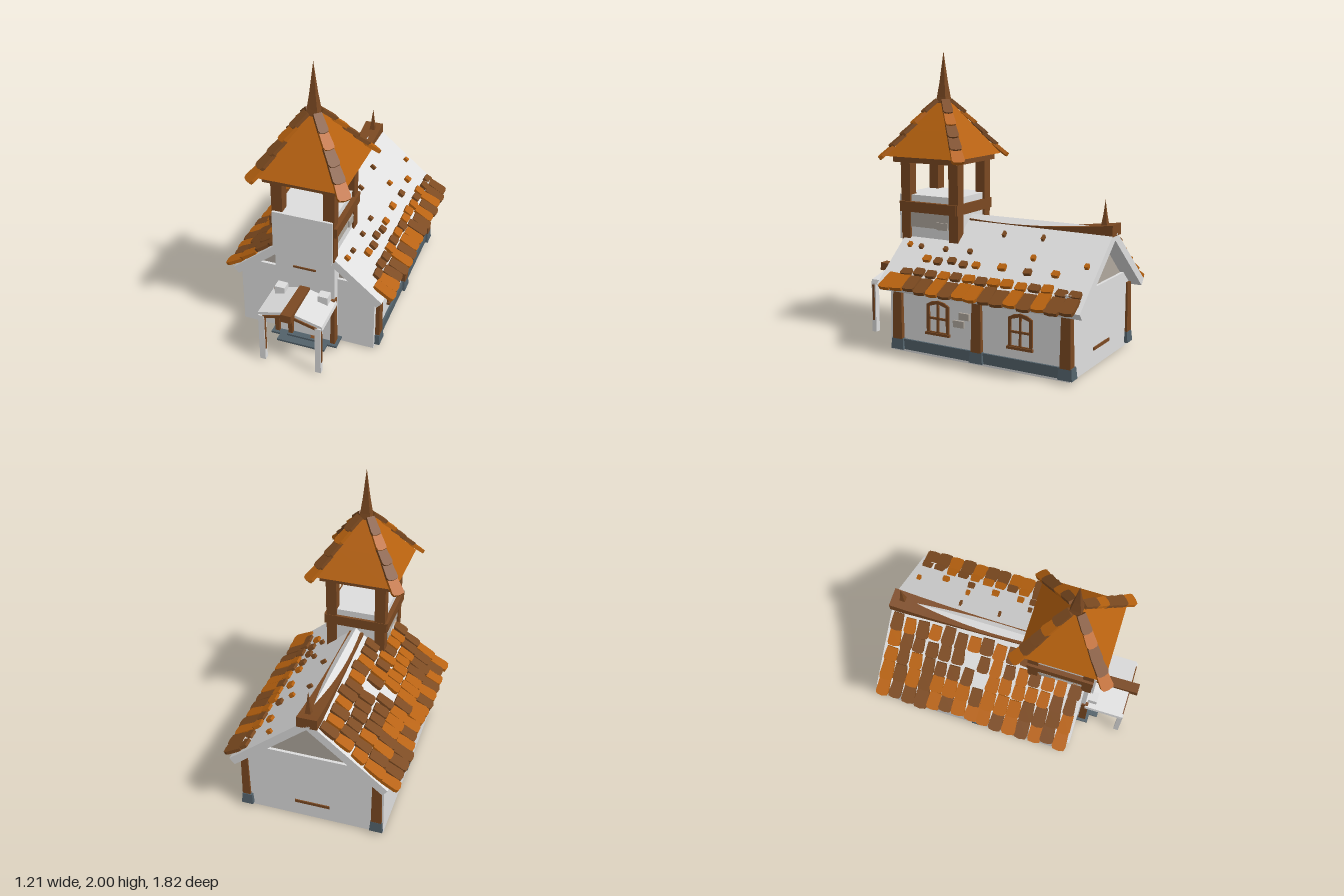
import * as THREE from 'three';

const mat = (name, color, side = THREE.FrontSide) => {
  const m = new THREE.MeshStandardMaterial({ color, side });
  m.name = name;
  return m;
};

export function createModel() {
  const plaster = mat('plaster', 0xdedede);
  const wood = mat('wood', 0x7b4922);
  const orange = mat('orangeTile', 0xb8620f);
  const brown = mat('brownTile', 0x7c4a20);
  const slate = mat('slate', 0x52616a);
  const stone = mat('stone', 0xb0a89e);
  const root = new THREE.Group();
  root.name = 'chapel';

  let seed = 7;
  const rand = () => (seed = (seed * 16807) % 2147483647) / 2147483647;

  const add = (name, geo, m, parent = root) => {
    const mesh = new THREE.Mesh(geo, m);
    mesh.name = name;
    parent.add(mesh);
    return mesh;
  };
  // box given by its limits on each axis
  const box = (name, m, x0, x1, y0, y1, z0, z1, parent = root) => {
    const b = add(name, new THREE.BoxGeometry(x1 - x0, y1 - y0, z1 - z0), m, parent);
    b.position.set((x0 + x1) / 2, (y0 + y1) / 2, (z0 + z1) / 2);
    return b;
  };
  // box whose top is narrower or wider than its foot
  const post = (name, m, x, z, w, d, y0, y1, top) => {
    const g = new THREE.BoxGeometry(w, y1 - y0, d);
    const p = g.attributes.position;
    for (let i = 0; i < p.count; i++)
      if (p.getY(i) > 0) { p.setX(i, p.getX(i) * top); p.setZ(i, p.getZ(i) * top); }
    g.computeVertexNormals();
    add(name, g, m).position.set(x, (y0 + y1) / 2, z);
  };
  const shape = pts => new THREE.Shape(pts.map(p => new THREE.Vector2(...p)));
  const prism = (name, m, s, z0, z1, parent = root) => {
    const e = add(name, new THREE.ExtrudeGeometry(s, { depth: z1 - z0, bevelEnabled: false }), m, parent);
    e.position.z = z0;
    return e;
  };

  // nave walls, recessed gables and floor
  prism('naveWalls', plaster, shape([[-0.485, 0.01], [0.46, 0.01], [0.46, 0.445], [0.36, 0.53],
    [-0.36, 0.53], [-0.485, 0.425]]), -0.82, 0.51);
  prism('gableInfill', stone, shape([[-0.36, 0.52], [0.36, 0.52], [0, 0.83]]), -0.8, 0.49);
  box('floor', slate, -0.46, 0.44, 0.004, 0.02, -0.8, 0.49);
  box('plinth', slate, 0.44, 0.475, 0.03, 0.1, -0.825, 0.485);
  box('wallVent', slate, -0.492, -0.48, 0.02, 0.05, -0.21, -0.13);
  for (const z of [0.44, -0.17, -0.8]) {
    post('wallPost', wood, 0.462, z, 0.055, 0.075, 0.1, 0.42, 0.85);
    post('postBase', slate, 0.455, z, 0.08, 0.1, 0.03, 0.105, 0.85);
  }
  post('backPost', wood, -0.44, -0.8, 0.07, 0.075, 0.1, 0.45, 0.85);
  post('backPostBase', slate, -0.44, -0.8, 0.088, 0.09, 0.03, 0.105, 0.85);
  box('backSlot', wood, -0.12, 0.12, 0.12, 0.14, -0.828, -0.81);

  // arched windows with four panes
  const win = shape([[-0.085, 0.165], [0.085, 0.165], [0.085, 0.365], [0.05, 0.385], [0, 0.395],
    [-0.05, 0.385], [-0.085, 0.365]]);
  for (const s of [-1, 1]) {
    const a = 0.007 * s, b = 0.064 * s;
    win.holes.push(new THREE.Path([[a, 0.185], [b, 0.185], [b, 0.268], [a, 0.268]].map(p => new THREE.Vector2(...p))));
    win.holes.push(new THREE.Path([[a, 0.282], [b, 0.282], [b, 0.355], [a, 0.372]].map(p => new THREE.Vector2(...p))));
  }
  for (const z of [0.13, -0.48]) {
    const w = prism('windowFrame', wood, win, 0, 0.015);
    w.rotation.y = Math.PI / 2;
    w.position.set(0.457, 0, z);
    box('windowSill', wood, 0.457, 0.48, 0.163, 0.18, z - 0.092, z + 0.092);
  }
  box('wallBrick', stone, 0.45, 0.475, 0.295, 0.34, -0.11, -0.035);
  box('wallBrick', stone, 0.45, 0.475, 0.24, 0.285, -0.07, 0.01);

  // roof tile, unit length and width, chamfered at its lower (+x) end
  const tileGeo = new THREE.ExtrudeGeometry(shape([[-0.5, -0.42], [0.32, -0.5], [0.46, -0.4], [0.5, 0],
    [0.45, 0.42], [0.3, 0.5], [-0.5, 0.42]]), { depth: 0.024, bevelEnabled: false });
  tileGeo.rotateX(-Math.PI / 2);
  const tile = (m, parent, x, y, z, len, wid, tilt) => {
    const t = add('roofTile', tileGeo, m, parent);
    t.scale.set(len, 1, wid);
    t.position.set(x, y, z);
    t.rotation.set(0, (rand() - 0.5) * 0.12, tilt);
  };

  // roof slopes: local x runs down the slope from the ridge
  // rows: distance, length, width, chance of a tile, tilt
  const rows = {
    1: [[0.665, 0.15, 0.1, 1, 0.2], [0.558, 0.06, 0.08, 0.9, 0.12], [0.435, 0.05, 0.055, 0.6, 0.1],
      [0.33, 0.035, 0.03, 0.45, 0.08], [0.16, 0.04, 0.02, 0.15, 0.05]],
    '-1': [[0.665, 0.15, 0.1, 1, 0.2], [0.545, 0.14, 0.098, 1, 0.12], [0.415, 0.12, 0.09, 0.95, 0.12],
      [0.295, 0.12, 0.088, 0.93, 0.12], [0.17, 0.125, 0.09, 0.93, 0.12]],
  };
  for (const s of [1, -1]) {
    const slope = new THREE.Group();
    slope.name = s > 0 ? 'leftRoof' : 'rightRoof';
    slope.position.y = 0.9;
    slope.rotation.set(0, s > 0 ? 0 : Math.PI, -0.69, 'YXZ');
    root.add(slope);
    const z0 = s > 0 ? -0.91 : -0.545, z1 = s > 0 ? 0.575 : 0.9;
    box('roofSlab', plaster, 0, 0.685, -0.055, 0, z0, z1, slope);
    for (const [d, len, wid, chance, tilt] of rows[s])
      for (let i = 0; i < 15; i++) {
        const z = -0.84 + i * 0.0945;
        const odd = (i + (rand() < 0.2 ? 1 : 0)) % 2;
        if (rand() > chance) continue;
        const k = 0.85 + rand() * 0.25;
        tile(odd ? brown : orange, slope, d + (rand() - 0.5) * 0.02, d > 0.6 ? 0.008 : 0.001,
          s * (z + (rand() - 0.5) * 0.01), len * k, wid * (0.9 + rand() * 0.15), tilt);
      }
  }
  box('roofBlock', plaster, 0.415, 0.465, 0.51, 0.555, -0.825, -0.78);

  // sagging ridge beam and its spike
  const ridge = new THREE.BoxGeometry(1, 1, 1, 1, 1, 10);
  const rp = ridge.attributes.position;
  for (let i = 0; i < rp.count; i++) {
    const t = 0.5 - rp.getZ(i), z = 0.145 - 1.055 * t;
    const top = 0.865 + 0.1 * (z + 0.15) ** 2;
    rp.setXYZ(i, rp.getX(i) > 0 ? 0.046 + 0.01 * t : -0.056 - 0.022 * t, rp.getY(i) > 0 ? top : top - 0.075, z);
  }
  ridge.computeVertexNormals();
  add('ridgeBeam', ridge, wood);
  const spire = (name, m, pts, y, z) => {
    const g = new THREE.LatheGeometry(pts.map(p => new THREE.Vector2(p[0] * Math.SQRT2, p[1])), 4, Math.PI / 4).toNonIndexed();
    g.computeVertexNormals();
    add(name, g, m).position.set(0, y, z);
  };
  spire('ridgeSpike', wood, [[0, 0], [0.02, 0], [0.01, 0.07], [0, 0.165]], 0.91, -0.835);

  // tower
  box('towerBase', plaster, -0.205, 0.205, 0.01, 0.72, 0.15, 0.575);
  box('towerTop', plaster, -0.195, 0.195, 0.7, 1.03, 0.15, 0.6);
  box('towerFront', plaster, -0.205, 0.205, 0.72, 1.03, 0.595, 0.608);
  box('frontSlot', wood, -0.078, 0.078, 0.605, 0.618, 0.57, 0.582);
  for (const s of [-1, 1]) {
    box('sidePanel', stone, s * 0.198 - 0.004, s * 0.198 + 0.004, 0.81, 0.92, 0.19, 0.54);
    box('sideBand', wood, s * 0.21 - 0.018, s * 0.21 + 0.018, 0.915, 0.985, 0.14, 0.594);
    box('towerBrick', stone, s * 0.2 - 0.012, s * 0.2 + 0.012, 0.805, 0.855, 0.22, 0.305);
    for (const z of [0.555, 0.17])
      post('belfryPost', wood, s * 0.174, z, 0.07, 0.07, 0.72, 1.27, 1.08);
    box('topSideBeam', wood, s * 0.215 - 0.035, s * 0.215 + 0.035, 1.255, 1.31, 0.12, 0.63);
    box('topCrossBeam', wood, -0.25, 0.25, 1.255, 1.31, 0.375 + s * 0.22 - 0.035, 0.375 + s * 0.22 + 0.035);
  }
  box('backBand', wood, -0.225, 0.225, 0.915, 0.985, 0.13, 0.16);

  // belfry roof, hip tiles and spire
  spire('belfryRoof', orange, [[0, 1.3], [0.285, 1.295], [0.165, 1.47], [0.03, 1.665], [0, 1.67]], 0, 0.375);
  spire('spire', wood, [[0, 1.63], [0.042, 1.65], [0.034, 1.69], [0.021, 1.79], [0, 2]], 0, 0.375);
  const hipColours = [orange, brown, brown, orange, brown];
  for (let c = 0; c < 4; c++) {
    const hip = new THREE.Group();
    hip.name = 'hipTiles';
    hip.position.set(0, 1.295, 0.375);
    hip.rotation.y = Math.PI / 4 + c * Math.PI / 2;
    root.add(hip);
    hipColours.forEach((m, i) =>
      tile(m, hip, 0.392 - i * 0.075, 0.018 + i * 0.076, 0, 0.135, 0.088 - i * 0.005, -0.69));
  }

  // doorway and step
  box('step', slate, -0.235, 0.235, 0.032, 0.046, 0.5, 0.62);
  box('step', slate, -0.17, 0.17, 0.032, 0.046, 0.6, 0.68);
  box('doorSill', slate, -0.12, 0.12, 0.046, 0.06, 0.57, 0.625);
  const frame = shape([[-0.115, 0.05], [0.115, 0.05], [0.115, 0.36], [0.08, 0.378], [-0.08, 0.378], [-0.115, 0.36]]);
  frame.holes.push(new THREE.Path([[-0.085, 0.06], [0.085, 0.06], [0.085, 0.345], [-0.085, 0.345]].map(p => new THREE.Vector2(...p))));
  prism('doorFrame', wood, frame, 0.57, 0.61);
  box('door', plaster, -0.09, 0.09, 0.055, 0.35, 0.57, 0.582);

  // porch
  prism('porchRoof', plaster, shape([[-0.225, 0.37], [-0.215, 0.365], [0, 0.42], [0.215, 0.365], [0.225, 0.37],
    [0.22, 0.4], [0, 0.455], [-0.22, 0.4]]), 0.575, 0.85);
  prism('porchArch', wood, shape([[-0.2, 0.362], [0, 0.415], [0.2, 0.362], [0.2, 0.382], [0, 0.435],
    [-0.2, 0.382]]), 0.83, 0.858);
  const beam = box('porchRidge', wood, -0.036, 0.036, 0.415, 0.47, 0.56, 0.912);
  beam.rotation.x = -0.05;
  for (const s of [-1, 1]) {
    post('towerPost', wood, s * 0.2, 0.572, 0.032, 0.055, 0.046, 0.41, 0.85);
    box('porchPost', plaster, s * 0.195 - 0.02, s * 0.195 + 0.02, 0.015, 0.385, 0.825, 0.86);
    box('porchPostStrip', wood, s * 0.195 + 0.018, s * 0.195 + 0.023, 0.1, 0.36, 0.835, 0.853);
    box('porchBlock', plaster, s * 0.15 - 0.035, s * 0.15 + 0.035, 0.4, 0.47, 0.585, 0.65);
  }
  return root;
}
